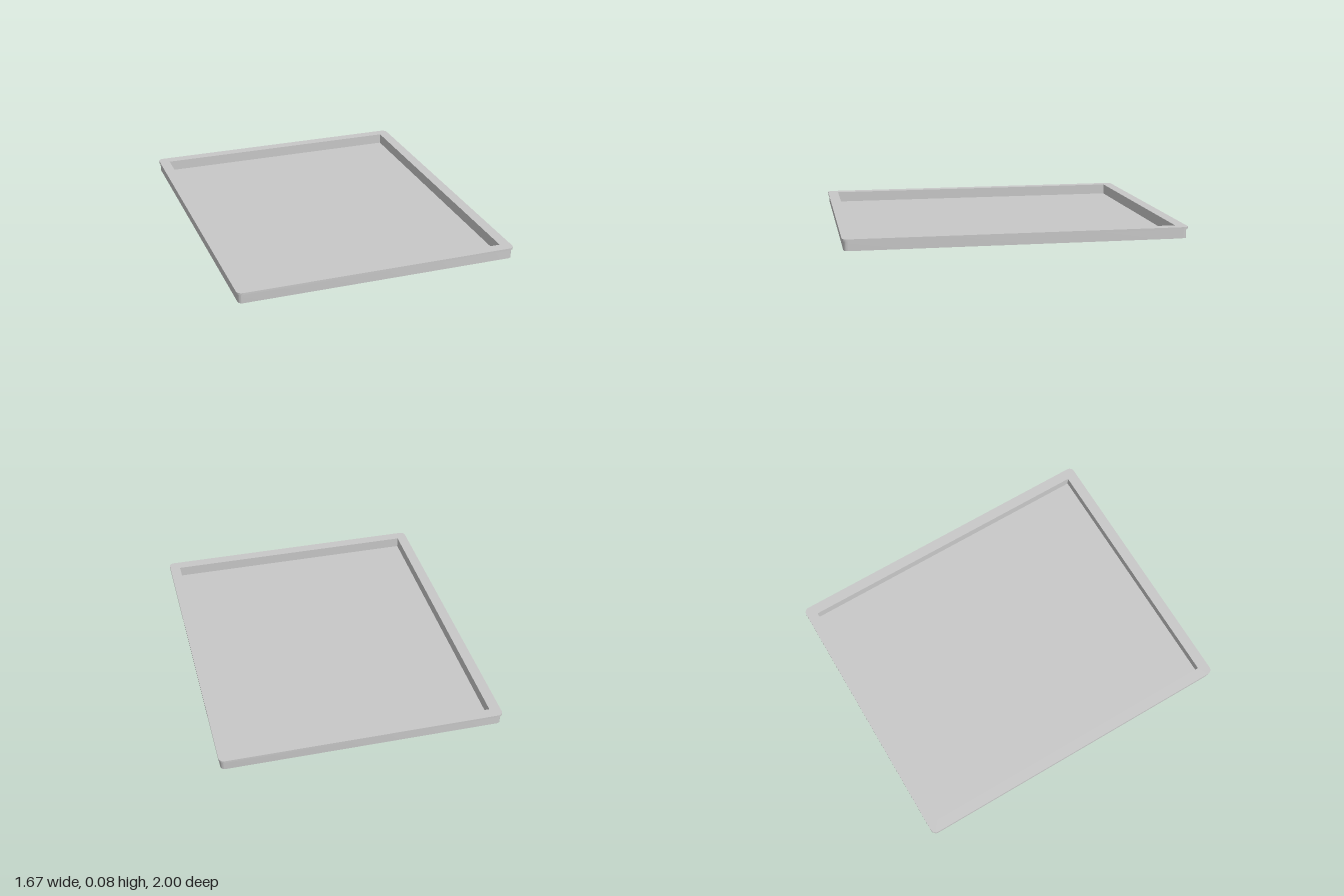
import * as THREE from 'three';
import { toCreasedNormals } from 'three/addons/utils/BufferGeometryUtils.js';

const OPEN_X = 0.77, OPEN_Z = 0.935; // half size of the tray opening

// Rounded rectangle outline, given as half sizes
function roundedRect(hx, hz, r) {
  const s = new THREE.Shape();
  s.absarc(hx - r, hz - r, r, 0, Math.PI / 2);
  s.absarc(-hx + r, hz - r, r, Math.PI / 2, Math.PI);
  s.absarc(-hx + r, -hz + r, r, Math.PI, Math.PI * 1.5);
  s.absarc(hx - r, -hz + r, r, Math.PI * 1.5, Math.PI * 2);
  s.closePath();
  return s;
}

// Horizontal ring around the opening, from y0 to y1
function ring(name, hx, hz, r, y0, y1, material) {
  const shape = roundedRect(hx, hz, r);
  shape.holes.push(new THREE.Path([
    new THREE.Vector2(-OPEN_X, -OPEN_Z), new THREE.Vector2(-OPEN_X, OPEN_Z),
    new THREE.Vector2(OPEN_X, OPEN_Z), new THREE.Vector2(OPEN_X, -OPEN_Z),
  ]));
  const geo = new THREE.ExtrudeGeometry(shape, { depth: y1 - y0, bevelEnabled: false, curveSegments: 8 });
  geo.rotateX(-Math.PI / 2);
  geo.translate(0, y0, 0);
  const mesh = new THREE.Mesh(toCreasedNormals(geo, 0.6), material);
  mesh.name = name;
  return mesh;
}

export function createModel() {
  const group = new THREE.Group();
  group.name = 'tray';
  const grey = new THREE.MeshStandardMaterial({ color: 0xc8c8c8 });
  grey.name = 'light grey';

  // Floor plate, standing slightly proud below the frame
  const floor = new THREE.Mesh(new THREE.BoxGeometry(OPEN_X * 2, 0.016, OPEN_Z * 2), grey);
  floor.position.y = 0.008;
  floor.name = 'floorPlate';
  group.add(floor);

  // Side walls and the thin overhanging lip on top
  group.add(ring('frameWalls', 0.826, 0.992, 0.026, 0.013, 0.068, grey));
  group.add(ring('topLip', 0.834, 1, 0.032, 0.068, 0.08, grey));
  return group;
}
